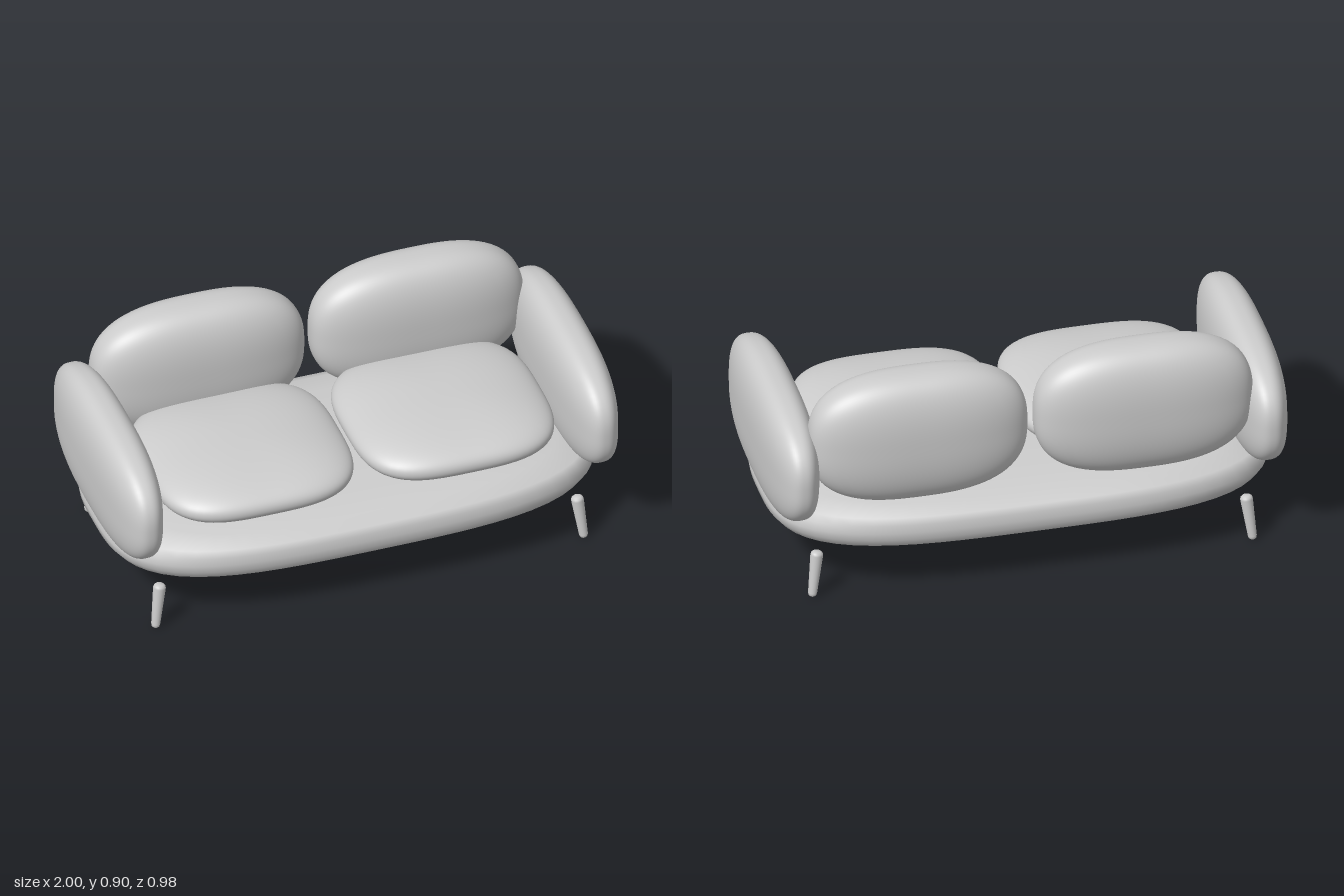
import * as THREE from 'three';
import { mergeVertices } from 'three/addons/utils/BufferGeometryUtils.js';

const material = new THREE.MeshStandardMaterial({ color: 0xcccccc });

// Weld all seams and give smooth normals
function smooth(geometry) {
  geometry.deleteAttribute('uv');
  geometry.deleteAttribute('normal');
  const welded = mergeVertices(geometry, 1e-5);
  welded.computeVertexNormals();
  return welded;
}

function addMesh(parent, name, geometry, position = [0, 0, 0]) {
  const mesh = new THREE.Mesh(geometry, material);
  mesh.name = name;
  mesh.position.set(...position);
  parent.add(mesh);
  return mesh;
}

// Pillow: outline exponent p in the plane of the cushion, q across its thin axis
function pillowGeometry(half, thinAxis, p, q) {
  const geometry = new THREE.BoxGeometry(2, 2, 2, 24, 24, 24);
  const pos = geometry.attributes.position;
  const spread = (t) => Math.tan(t * Math.PI / 4);
  for (let i = 0; i < pos.count; i++) {
    const d = [pos.getX(i), pos.getY(i), pos.getZ(i)].map(spread);
    const a = d.map(Math.abs);
    const thin = a.splice(thinAxis, 1)[0];
    const plane = Math.pow(a[0] ** p + a[1] ** p, 1 / p);
    const norm = Math.pow(plane ** q + thin ** q, 1 / q);
    pos.setXYZ(i, ...d.map((v, k) => v / norm * half[k]));
  }
  return smooth(geometry);
}

// Base: turned profile whose circles are stretched into rounded rectangles
function baseGeometry(halfX, halfZ, n) {
  const profile = [
    [0, 0.155], [0.4, 0.157], [0.65, 0.163], [0.82, 0.175], [0.97, 0.22],
    [0.995, 0.25], [1, 0.28], [0.99, 0.31], [0.97, 0.337], [0.86, 0.365],
    [0.65, 0.385], [0.35, 0.397], [0, 0.4],
  ].map(([r, y]) => new THREE.Vector2(r, y));
  const geometry = new THREE.LatheGeometry(profile, 80);
  const pos = geometry.attributes.position;
  for (let i = 0; i < pos.count; i++) {
    const x = pos.getX(i), z = pos.getZ(i);
    const r = Math.hypot(x, z);
    const norm = Math.pow(Math.abs(x) ** n + Math.abs(z) ** n, 1 / n);
    const s = r > 1e-6 ? r / norm : 0;
    pos.setXYZ(i, x * s * halfX, pos.getY(i), z * s * halfZ);
  }
  return smooth(geometry);
}

// Tapered leg with rounded ends, running up from its foot
function legGeometry(length) {
  const profile = [
    [0, 0], [0.01, 0.002], [0.015, 0.007], [0.017, 0.016],
    [0.024, length - 0.016], [0.022, length - 0.007], [0.015, length - 0.001], [0, length],
  ].map(([r, y]) => new THREE.Vector2(r, y));
  return smooth(new THREE.LatheGeometry(profile, 20));
}

export function createModel() {
  const sofa = new THREE.Group();
  sofa.name = 'sofa';

  addMesh(sofa, 'base', baseGeometry(0.96, 0.492, 3.3));

  const seat = pillowGeometry([0.385, 0.1, 0.37], 1, 3.3, 2.2);
  const back = pillowGeometry([0.417, 0.265, 0.14], 2, 2.7, 2.6);
  const arm = pillowGeometry([0.105, 0.235, 0.49], 0, 2.7, 2.6);
  const leg = legGeometry(0.187);
  const up = new THREE.Vector3(0, 1, 0);

  for (const [side, s] of [['left', 1], ['right', -1]]) {
    addMesh(sofa, side + 'SeatCushion', seat, [s * 0.395, 0.48, 0.07]);
    addMesh(sofa, side + 'BackCushion', back, [s * 0.431, 0.64, -0.339]);
    addMesh(sofa, side + 'Arm', arm, [s * 0.895, 0.52, 0]);

    // Legs splay outwards towards the floor
    for (const [end, e] of [['Front', 1], ['Back', -1]]) {
      const foot = new THREE.Vector3(s * 0.843, 0, e * 0.379);
      const top = new THREE.Vector3(s * 0.82, 0.186, e * 0.364);
      const mesh = addMesh(sofa, side + end + 'Leg', leg, foot.toArray());
      mesh.quaternion.setFromUnitVectors(up, top.sub(foot).normalize());
    }
  }
  return sofa;
}
